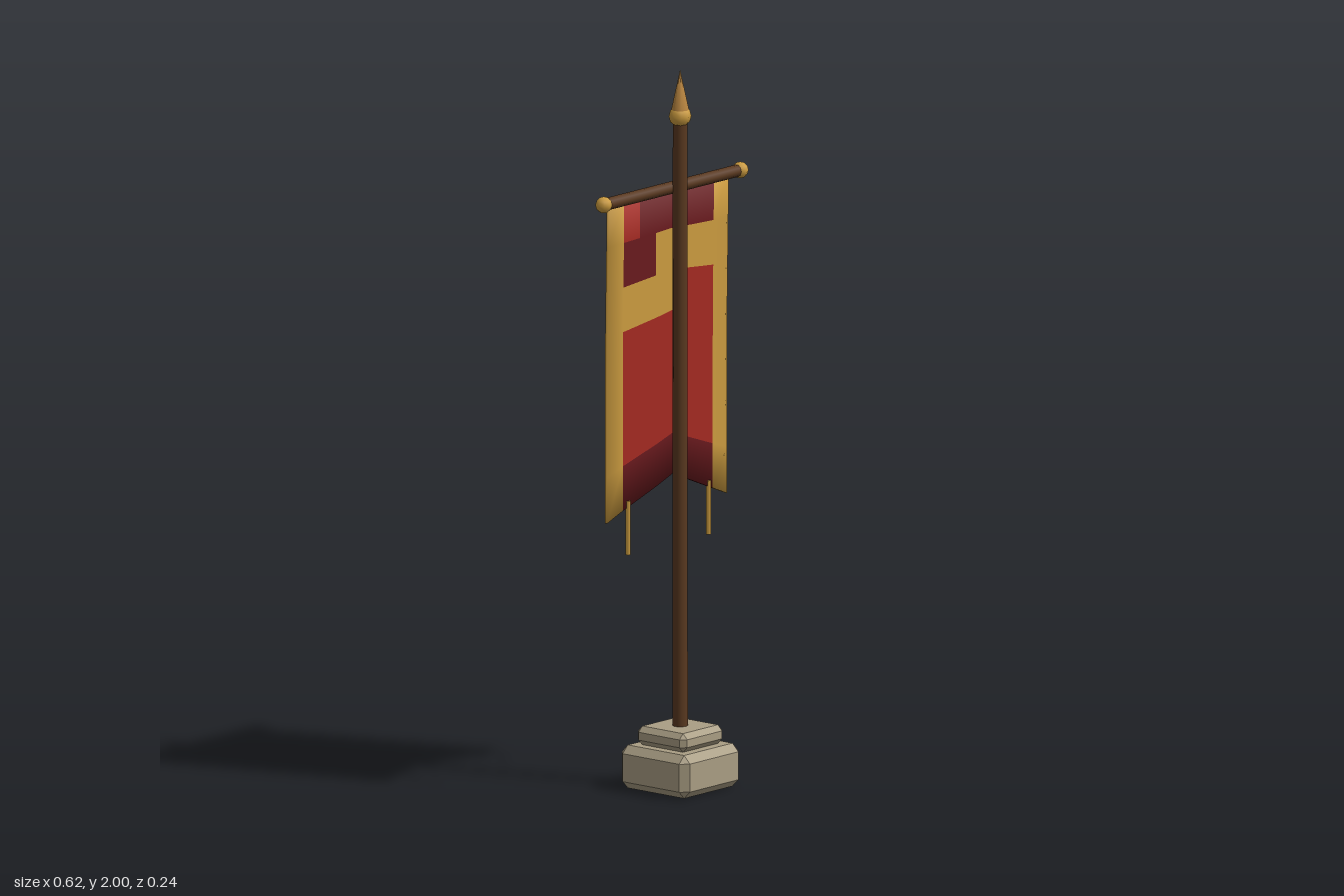
import * as THREE from 'three';
import { mergeVertices } from 'three/addons/utils/BufferGeometryUtils.js';
import { ConvexGeometry } from 'three/addons/geometries/ConvexGeometry.js';

function mat(name, color, flatShading = false) {
  const m = new THREE.MeshStandardMaterial({ color, flatShading });
  m.name = name;
  return m;
}

// Box with every edge and corner cut at 45 degrees
function chamferedBox(w, h, d, c) {
  const pts = [];
  for (const sx of [-1, 1]) for (const sy of [-1, 1]) for (const sz of [-1, 1]) {
    const x = w / 2, y = h / 2, z = d / 2;
    pts.push(new THREE.Vector3(sx * x, sy * (y - c), sz * (z - c)));
    pts.push(new THREE.Vector3(sx * (x - c), sy * y, sz * (z - c)));
    pts.push(new THREE.Vector3(sx * (x - c), sy * (y - c), sz * z));
  }
  return new ConvexGeometry(pts);
}

const CLOTH = { half: 0.25, top: 1.667, cols: 8, rows: 7, thick: 0.008 };

// Thin hanging sheet with a notched hem, a gentle bow and soft outer edges
function clothGeometry() {
  const { half, top, cols, rows, thick } = CLOTH;
  const box = new THREE.BoxGeometry(2, 1, 2, cols, rows, 1);
  box.deleteAttribute('uv');
  box.deleteAttribute('normal');
  const geo = mergeVertices(box);
  const pos = geo.attributes.position;
  const normals = [];
  const n = new THREE.Vector3();

  // Sort triangles into field, hem and trim while the grid is still regular
  const lists = [[], [], []];
  const idx = geo.index.array;
  for (let i = 0; i < idx.length; i += 3) {
    const tri = [idx[i], idx[i + 1], idx[i + 2]];
    const cx = tri.reduce((s, k) => s + pos.getX(k), 0) / 3;
    const cy = tri.reduce((s, k) => s + pos.getY(k), 0) / 3;
    const slot = Math.abs(cx) > 0.75 ? 2 : cy < -0.5 + 1 / rows ? 1 : 0;
    lists[slot].push(...tri);
  }
  geo.setIndex(lists.flat());
  let start = 0;
  lists.forEach((l, i) => { geo.addGroup(start, l.length, i); start += l.length; });

  for (let i = 0; i < pos.count; i++) {
    const u = pos.getX(i), v = 0.5 - pos.getY(i), side = pos.getZ(i);
    const bottom = 0.87 - 0.1 * Math.abs(u);
    const bow = Math.min(1, 0.3 + v * 1.4);
    const z = -0.041 + 0.01 * bow * Math.cos(Math.PI * u);
    n.set(Math.abs(u) > 0.99 ? Math.sign(u) : 0, v < 0.01 ? 1 : v > 0.99 ? -1 : 0, side).normalize();
    normals.push(n.x, n.y, n.z);
    pos.setXYZ(i, u * half, top + (bottom - top) * v, z + side * thick / 2);
  }
  geo.setAttribute('normal', new THREE.Float32BufferAttribute(normals, 3));
  return geo;
}

// Eight-pointed star plate
function starGeometry() {
  const s = new THREE.Shape();
  for (let i = 0; i < 16; i++) {
    const r = i % 2 ? 0.065 : 0.143, a = Math.PI / 2 + (i * Math.PI) / 8;
    s[i ? 'lineTo' : 'moveTo'](r * Math.cos(a), r * Math.sin(a));
  }
  s.closePath();
  return new THREE.ExtrudeGeometry(s, { depth: 0.008, bevelEnabled: false });
}

export function createModel() {
  const group = new THREE.Group();
  group.name = 'bannerStand';
  const stone = mat('stone', 0xaa9e84, true);
  const wood = mat('wood', 0x5a3920);
  const gold = mat('gold', 0xcc9c40);
  const bronze = mat('bronze', 0xb9853f);
  const red = mat('redCloth', 0xa52a22);
  const darkRed = mat('darkRedHem', 0x6a1a1e);

  const add = (name, geo, material, x, y, z) => {
    const m = new THREE.Mesh(geo, material);
    m.name = name;
    m.position.set(x, y, z);
    group.add(m);
    return m;
  };

  // Stepped stone base
  add('baseBlock', chamferedBox(0.244, 0.12, 0.244, 0.021), stone, 0, 0.06, 0);
  add('baseStep', chamferedBox(0.176, 0.052, 0.176, 0.015), stone, 0, 0.146, 0);

  // Pole with spear tip
  add('pole', new THREE.CylinderGeometry(0.02, 0.021, 1.71, 10), wood, 0, 1.005, 0);
  add('finialBall', new THREE.SphereGeometry(0.031, 8, 6), gold, 0, 1.87, 0);
  add('finialTip', new THREE.ConeGeometry(0.026, 0.12, 8), bronze, 0, 1.94, 0);

  // Crossbar with end knobs
  add('crossbar', new THREE.CylinderGeometry(0.017, 0.017, 0.56, 10), wood, 0, 1.667, -0.029)
    .rotation.z = Math.PI / 2;

  // Banner cloth and star emblem on its back face
  add('banner', clothGeometry(), [red, darkRed, gold], 0, 0, 0);
  add('starEmblem', starGeometry(), gold, 0, 1.213, -0.058);

  // Mirrored knobs and hanging cords
  for (const s of [-1, 1]) {
    add('crossbarKnob', new THREE.SphereGeometry(0.023, 8, 6), gold, s * 0.285, 1.667, -0.029);
    add('cord', new THREE.CylinderGeometry(0.007, 0.007, 0.15, 6), gold, s * 0.168, 0.745, -0.042);
  }
  return group;
}
